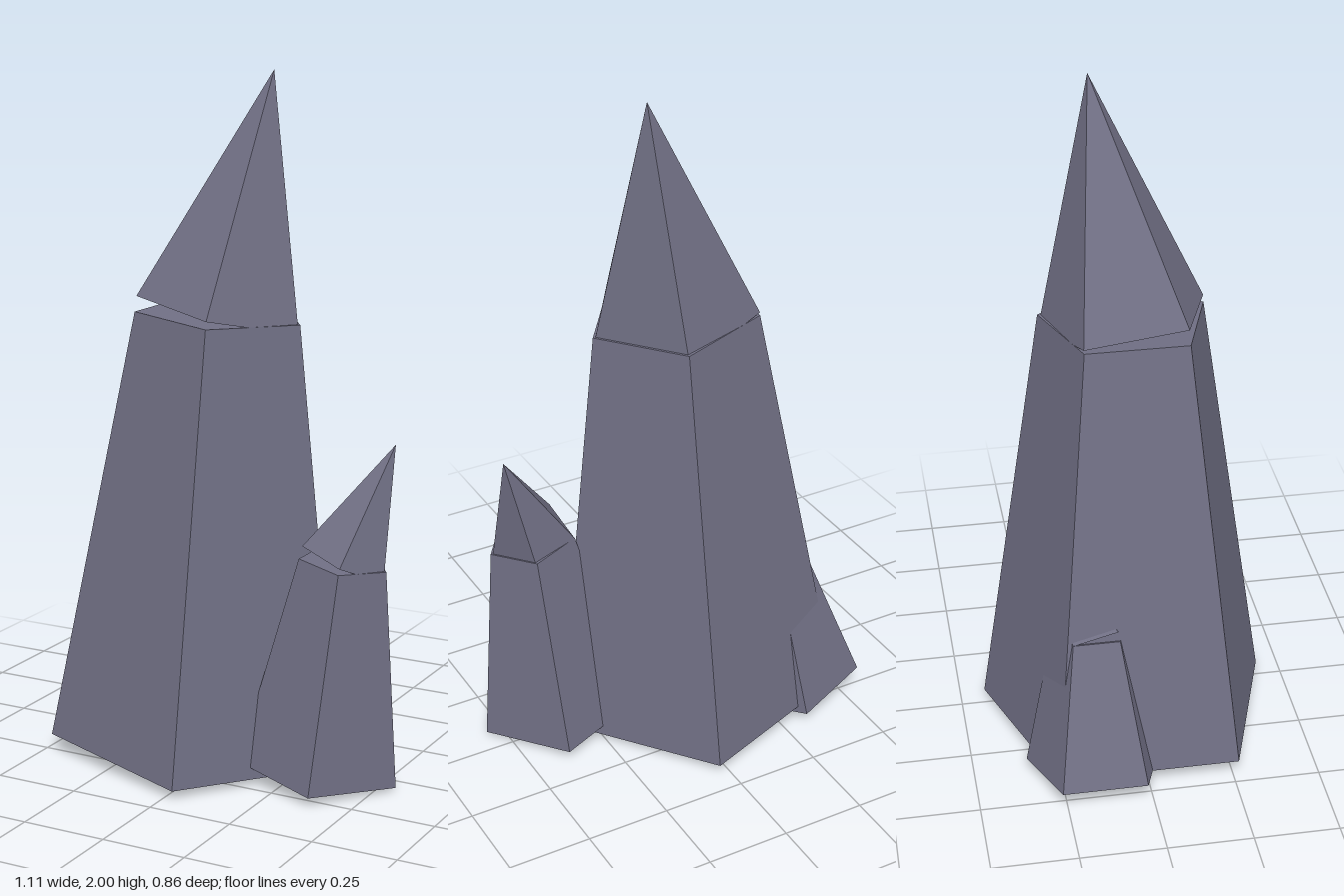
import * as THREE from 'three';

const stone = new THREE.MeshStandardMaterial({ color: 0x706f84, flatShading: true });
stone.name = 'slate stone';

// Five-sided tapered prism running between two points, one corner towards +x.
function prism(name, from, to, rBottom, rTop) {
  const a = new THREE.Vector3(...from);
  const b = new THREE.Vector3(...to);
  const axis = b.clone().sub(a);
  const geometry = new THREE.CylinderGeometry(rTop, rBottom, axis.length(), 5, 1, false, Math.PI / 2);
  const mesh = new THREE.Mesh(geometry, stone);
  mesh.name = name;
  mesh.position.copy(a).add(b).multiplyScalar(0.5);
  mesh.quaternion.setFromUnitVectors(new THREE.Vector3(0, 1, 0), axis.normalize());
  return mesh;
}

// A leaning shaft with a pointed cap tilted a little further.
function crystal({ name, base, top, capBase, tip, rBase, rTop }) {
  const group = new THREE.Group();
  group.name = name;
  group.add(prism('shaft', base, top, rBase, rTop));
  group.add(prism('pointedCap', capBase, tip, rTop, 0));
  return group;
}

export function createModel() {
  const model = new THREE.Group();
  model.name = 'crystalCluster';
  const crystals = [
    {
      name: 'mainCrystal', rBase: 0.45, rTop: 0.25,
      base: [-0.11, 0.035, 0], top: [-0.042, 1.313, 0],
      capBase: [-0.042, 1.316, 0], tip: [0.08, 2, -0.083],
    },
    {
      name: 'leftCrystal', rBase: 0.24, rTop: 0.13,
      base: [0.315, 0.038, 0.07], top: [0.385, 0.655, 0.07],
      capBase: [0.385, 0.652, 0.07], tip: [0.5, 0.985, -0.013],
    },
    {
      name: 'backRightCrystal', rBase: 0.21, rTop: 0.115,
      base: [-0.39, 0.04, -0.143], top: [-0.312, 0.459, -0.143],
      capBase: [-0.312, 0.459, -0.143], tip: [-0.23, 0.69, -0.2],
    },
  ];
  for (const c of crystals) model.add(crystal(c));
  return model;
}
